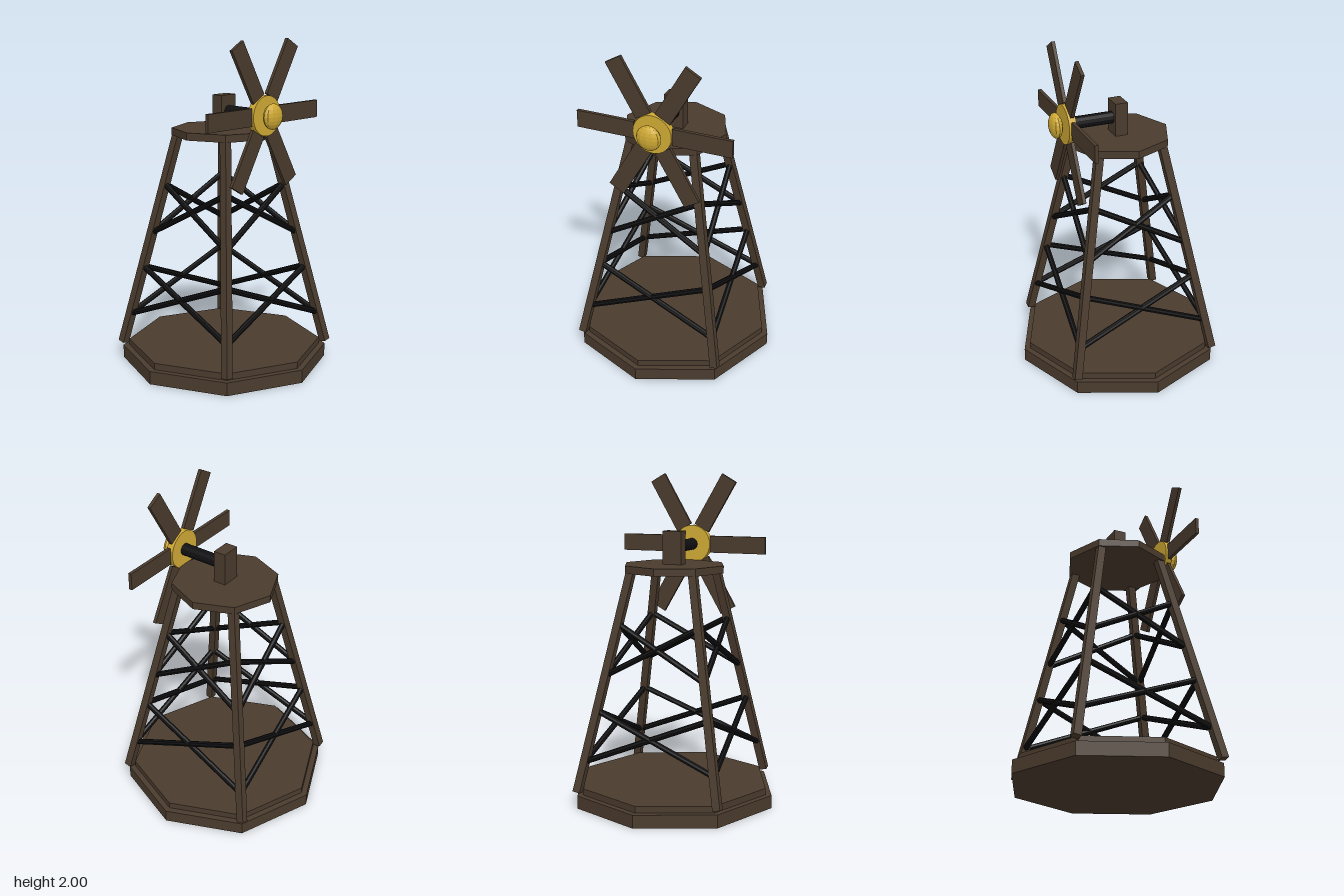
import * as THREE from 'three';

const material = (name, color) => {
  const m = new THREE.MeshStandardMaterial({ color, flatShading: true });
  m.name = name;
  return m;
};

export function createModel() {
  const wood = material('dark wood', 0x4a3b2d);
  const iron = material('black iron', 0x101012);
  const brass = material('brass', 0xd0aa35);

  const model = new THREE.Group();
  model.name = 'windmill';

  const add = (name, geometry, mat, x = 0, y = 0, z = 0, parent = model) => {
    const mesh = new THREE.Mesh(geometry, mat);
    mesh.name = name;
    mesh.position.set(x, y, z);
    parent.add(mesh);
    return mesh;
  };

  // Lays a geometry whose length runs along y between two points
  const UP = new THREE.Vector3(0, 1, 0);
  const between = (name, a, b, makeGeometry, mat) => {
    const dir = b.clone().sub(a);
    const mid = a.clone().add(b).multiplyScalar(0.5);
    const mesh = add(name, makeGeometry(dir.length()), mat, mid.x, mid.y, mid.z);
    mesh.quaternion.setFromUnitVectors(UP, dir.normalize());
  };

  // Octagonal slabs
  const slab = (name, radius, y0, y1) =>
    add(name, new THREE.CylinderGeometry(radius, radius, y1 - y0, 8), wood, 0, (y0 + y1) / 2, 0);
  slab('baseSlab', 0.635, 0, 0.08);
  slab('baseStep', 0.597, 0.08, 0.12);
  slab('topPlatform', 0.317, 1.415, 1.46);

  // Distance of a leg's centre line from the axis at height y
  const spread = (y) => 0.447 - 0.19 * (y - 0.11);
  const corner = (sx, sz, y) => new THREE.Vector3(sx * spread(y), y, sz * spread(y));

  // Leaning corner legs
  for (const sx of [-1, 1]) {
    for (const sz of [-1, 1]) {
      between('leg', corner(sx, sz, 0.105), corner(sx, sz, 1.43),
        (len) => new THREE.BoxGeometry(0.047, len, 0.047), wood);
    }
  }

  // Two tiers of crossed braces on each side
  const corners = [[1, 1], [1, -1], [-1, -1], [-1, 1]];
  const rod = (len) => new THREE.CylinderGeometry(0.018, 0.018, len, 8);
  for (const [low, high] of [[0.29, 0.597], [0.81, 1.115]]) {
    corners.forEach((a, i) => {
      const b = corners[(i + 1) % 4];
      between('brace', corner(...a, low), corner(...b, high), rod, iron);
      between('brace', corner(...b, low), corner(...a, high), rod, iron);
    });
  }

  // Bearing block and axle
  const axisY = 1.56;
  add('bearingBlock', new THREE.BoxGeometry(0.077, 0.2, 0.12), wood, -0.002, axisY, 0);
  const axle = add('axle', new THREE.CylinderGeometry(0.037, 0.037, 0.28, 12), iron, 0.165, axisY, 0);
  axle.rotation.z = Math.PI / 2;

  // Rotor with hub disc, rounded cap and six blades
  const rotor = new THREE.Group();
  rotor.name = 'rotor';
  rotor.position.set(0.32, axisY, 0);
  model.add(rotor);
  const hub = add('hubDisc', new THREE.CylinderGeometry(0.118, 0.118, 0.045, 32), brass, 0, 0, 0, rotor);
  hub.rotation.z = Math.PI / 2;
  const cap = add('hubCap', new THREE.SphereGeometry(0.076, 12, 10), brass, 0.066, 0, 0, rotor);
  cap.scale.x = 0.5;
  for (let i = 0; i < 6; i++) {
    const arm = new THREE.Group();
    arm.name = 'bladeArm';
    arm.rotation.x = (i * Math.PI) / 3;
    rotor.add(arm);
    add('blade', new THREE.BoxGeometry(0.021, 0.105, 0.358), wood, 0, 0, 0.296, arm);
  }

  return model;
}
